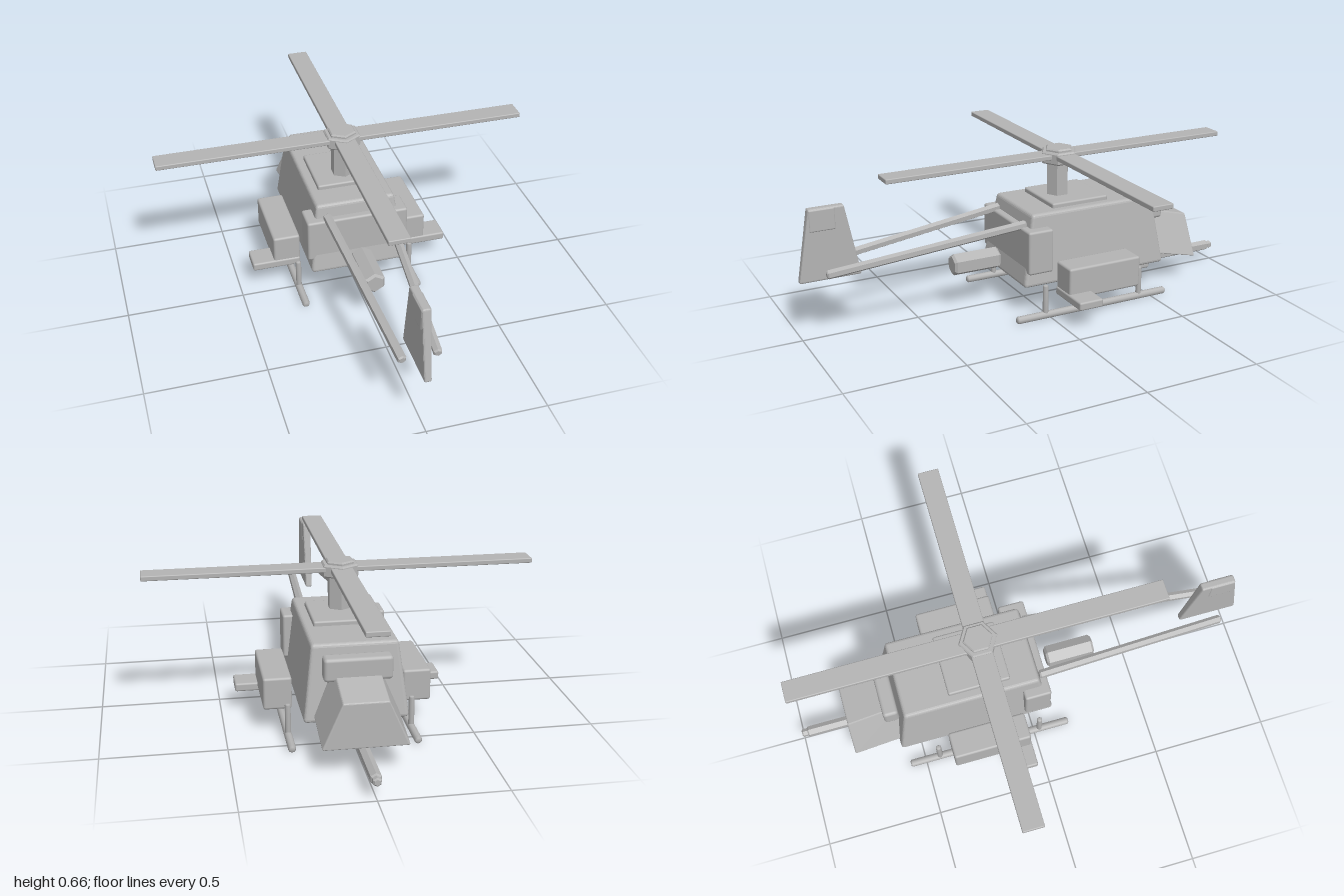
import * as THREE from 'three';
import { RoundedBoxGeometry } from 'three/addons/geometries/RoundedBoxGeometry.js';

export function createModel() {
  const model = new THREE.Group();
  model.name = 'helicopter';
  const grey = new THREE.MeshStandardMaterial({ color: 0xb4b4b4 });
  grey.name = 'plain grey';

  function add(name, geometry) {
    const mesh = new THREE.Mesh(geometry, grey);
    mesh.name = name;
    model.add(mesh);
    return mesh;
  }

  // Soft-edged box given by its [min, max] on each axis
  function box(name, [x0, x1], [y0, y1], [z0, z1], bevel = 0.01) {
    const geometry = new RoundedBoxGeometry(x1 - x0, y1 - y0, z1 - z0, 2, bevel);
    add(name, geometry).position.set((x0 + x1) / 2, (y0 + y1) / 2, (z0 + z1) / 2);
  }

  // Tapered soft-edged block; bottom and top are [half width, tail y, tail z, nose y, nose z]
  function block(name, bottom, top, bevel = 0.01) {
    const w = bottom[0] + top[0], h = top[1] - bottom[1], d = bottom[2] - bottom[4];
    const geometry = new RoundedBoxGeometry(w, h, d, 2, bevel);
    const p = geometry.attributes.position;
    const mix = THREE.MathUtils.lerp;
    for (let i = 0; i < p.count; i++) {
      const t = p.getY(i) / h + 0.5, s = 0.5 - p.getZ(i) / d;
      const [half, y0, z0, y1, z1] = bottom.map((v, k) => mix(v, top[k], t));
      p.setXYZ(i, p.getX(i) / w * 2 * half, mix(y0, y1, s), mix(z0, z1, s));
    }
    geometry.computeVertexNormals();
    return add(name, geometry);
  }

  // Bevelled prism between two points
  function rod(name, a, b, radius, sides = 6, bevel = 0.006) {
    const from = new THREE.Vector3(...a), to = new THREE.Vector3(...b);
    const l = from.distanceTo(to) / 2;
    const profile = [[0, -l], [radius - bevel, -l], [radius, -l + bevel],
      [radius, l - bevel], [radius - bevel, l], [0, l]].map(q => new THREE.Vector2(...q));
    let geometry = new THREE.LatheGeometry(profile, sides);
    if (sides < 8) {
      geometry = geometry.toNonIndexed();
      geometry.computeVertexNormals();
    }
    const mesh = add(name, geometry);
    mesh.position.copy(from).add(to).multiplyScalar(0.5);
    mesh.quaternion.setFromUnitVectors(new THREE.Vector3(0, 1, 0), to.sub(from).normalize());
  }

  // Fuselage, nose at -z
  block('body', [0.21, 0.13, 0.1, 0.13, -0.59], [0.172, 0.437, 0.045, 0.437, -0.54], 0.014);
  block('nose', [0.17, 0.16, -0.56, 0.107, -0.79], [0.088, 0.346, -0.56, 0.29, -0.782], 0.006);
  box('noseBar', [-0.135, 0.135], [0.31, 0.405], [-0.625, -0.56], 0.014);
  box('rearCowling', [-0.221, 0.221], [0.19, 0.38], [-0.03, 0.085]);
  rod('exhaust', [0, 0.208, 0.125], [0, 0.208, 0.34], 0.048, 6, 0.01);

  // Gun under the nose
  box('gunMount', [-0.05, 0.05], [0.037, 0.125], [-0.625, -0.4]);
  rod('gunBarrel', [0, 0.073, -0.6], [0, 0.073, -0.975], 0.024);
  rod('gunMuzzle', [0, 0.073, -0.96], [0, 0.073, -1], 0.018);

  // Tail fin and its raised plate
  block('tailFin', [0.015, 0.25, 1, 0.25, 0.74], [0.018, 0.555, 0.948, 0.555, 0.802], 0.008);
  box('finPlate', [-0.02, 0.02], [0.46, 0.552], [0.84, 0.948], 0.006);

  // Parts mirrored on both sides
  for (const [side, label] of [[1, 'left'], [-1, 'right']]) {
    const span = (a, b) => side > 0 ? [a, b] : [-b, -a];
    rod(label + 'TailBoom', [side * 0.13, 0.387, 0.055], [side * 0.07, 0.294, 0.905], 0.019);
    box(label + 'SidePod', span(0.228, 0.345), [0.105, 0.24], [-0.38, -0.04]);
    box(label + 'StubWing', span(0.23, 0.44), [0.092, 0.128], [-0.145, -0.035], 0.008);
    const x = side * 0.253;
    rod(label + 'Skid', [x, 0.016, 0.16], [x, 0.016, -0.57], 0.016, 10);
    for (const z of [0.025, -0.435]) {
      rod(label + 'SkidStrut', [x, 0.02, z], [x, 0.15, z], 0.012, 10, 0.004);
    }
  }

  // Rotor
  const rz = -0.17;
  box('mastBase', [-0.133, 0.133], [0.42, 0.457], [-0.34, -0.072], 0.008);
  rod('mast', [0, 0.44, rz + 0.005], [0, 0.61, rz + 0.005], 0.051, 6, 0.004);
  rod('rotorHub', [0, 0.598, rz], [0, 0.65, rz], 0.082);
  rod('hubCap', [0, 0.64, rz], [0, 0.663, rz], 0.063);
  box('crossBlades', [-0.805, 0.805], [0.62, 0.641], [rz - 0.045, rz + 0.045], 0.004);
  box('longBlades', [-0.045, 0.045], [0.62, 0.641], [rz - 0.805, rz + 0.805], 0.004);

  return model;
}
